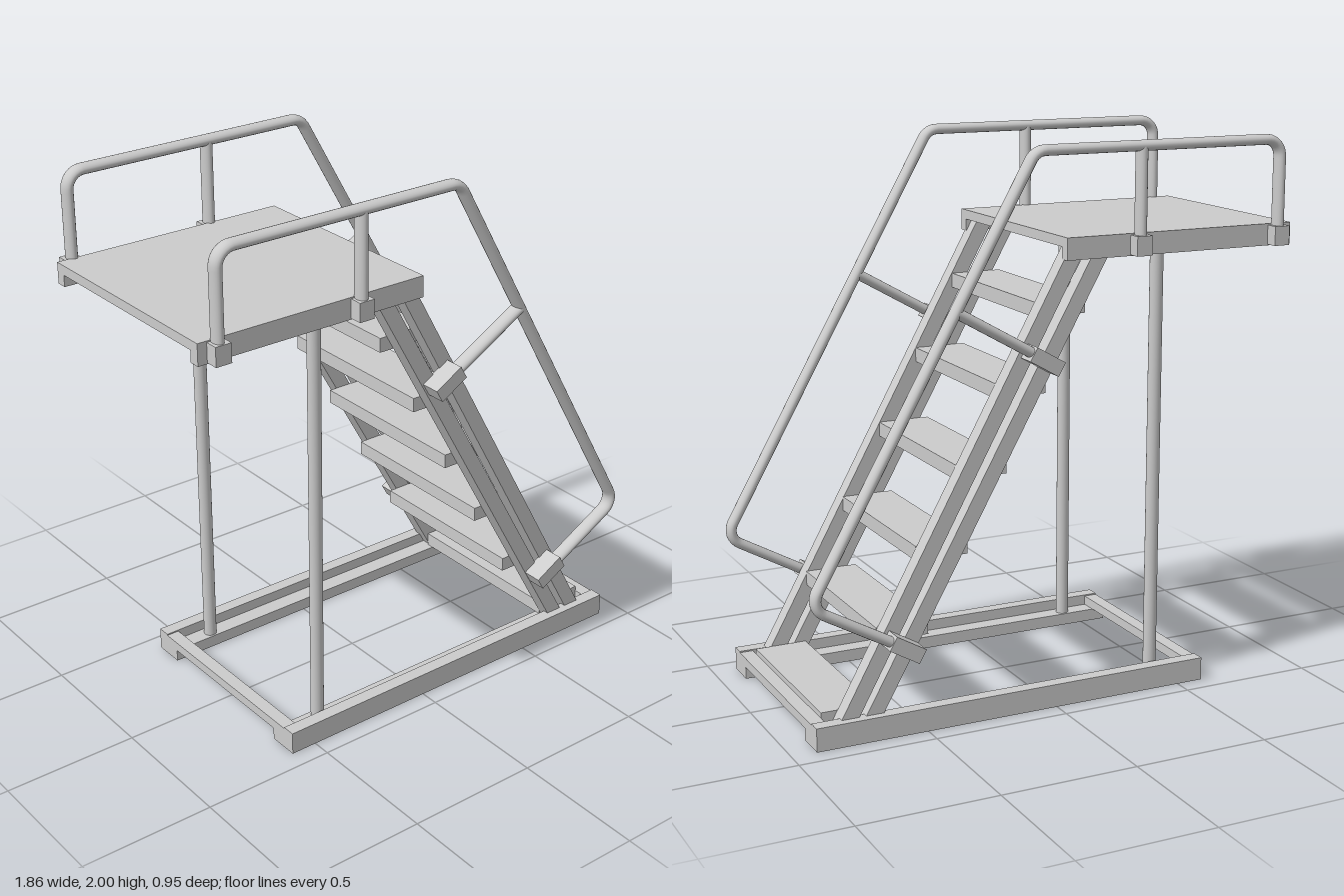
import * as THREE from 'three';

const material = new THREE.MeshStandardMaterial({ color: 0xcccccc });

export function createModel() {
  const model = new THREE.Group();

  const add = (name, geometry, parent = model) => {
    const mesh = new THREE.Mesh(geometry, material);
    mesh.name = name;
    parent.add(mesh);
    return mesh;
  };

  // Box given by its limits on each axis
  const box = (name, x0, x1, y0, y1, z0, z1, parent) => {
    const mesh = add(name, new THREE.BoxGeometry(x1 - x0, y1 - y0, z1 - z0), parent);
    mesh.position.set((x0 + x1) / 2, (y0 + y1) / 2, (z0 + z1) / 2);
    return mesh;
  };

  // Tube through corner points in the side plane, corners rounded, oval section
  const tube = (name, points, z, parent, radius = 0.06) => {
    const p = points.map(([x, y]) => new THREE.Vector3(x, y, 0));
    const path = new THREE.CurvePath();
    let from = p[0];
    for (let i = 1; i < p.length - 1; i++) {
      const back = p[i - 1].clone().sub(p[i]).normalize();
      const ahead = p[i + 1].clone().sub(p[i]).normalize();
      const cut = radius / Math.tan(back.angleTo(ahead) / 2);
      const a = p[i].clone().addScaledVector(back, cut);
      const b = p[i].clone().addScaledVector(ahead, cut);
      path.add(new THREE.LineCurve3(from, a));
      // Cubic approximation of the round bend
      const k = (4 / 3) * Math.tan((Math.PI - back.angleTo(ahead)) / 4) * radius;
      path.add(new THREE.CubicBezierCurve3(a, a.clone().addScaledVector(back, -k),
        b.clone().addScaledVector(ahead, -k), b));
      from = b;
    }
    path.add(new THREE.LineCurve3(from, p[p.length - 1]));
    const segments = p.length > 2 ? 240 : 1;
    const geometry = new THREE.TubeGeometry(path, segments, 0.019, 20, false);
    geometry.scale(1, 1, 1.5);
    add(name, geometry, parent).position.z = z;
  };

  // Sloping bar with level ends, x0 at the bottom and x1 at the top
  const slopingBar = (name, x0, x1, parent) => {
    const w = 0.065;
    const shape = new THREE.Shape([[x0, 0.045], [x0 + w, 0.045], [x1 + w, 1.645], [x1, 1.645]]
      .map(([x, y]) => new THREE.Vector2(x, y)));
    const geometry = new THREE.ExtrudeGeometry(shape, { depth: 0.06, bevelEnabled: false });
    add(name, geometry, parent).position.z = parent.userData.side > 0 ? 0.34 : -0.40;
  };

  // Platform deck
  box('platformDeck', -0.93, -0.03, 1.645, 1.68, -0.385, 0.385);

  // Cross bars of the base
  box('baseFrontCrossbar', 0.86, 0.91, 0.045, 0.08, -0.38, 0.38);
  box('baseRearCrossbar', -0.6, -0.55, 0.045, 0.08, -0.38, 0.38);

  // Stair treads
  for (let i = 0; i < 5; i++) {
    const x = -0.145 + i * 0.151, y = 1.4 - i * 0.27;
    box('tread', x, x + 0.195, y, y + 0.053, -0.34, 0.34);
  }
  box('bottomTread', 0.665, 0.86, 0.048, 0.1, -0.34, 0.34);

  for (const side of [1, -1]) {
    const group = new THREE.Group();
    group.name = side > 0 ? 'leftSide' : 'rightSide';
    group.userData.side = side;
    model.add(group);
    const sideBox = (name, x0, x1, y0, y1, z0, z1) =>
      box(name, x0, x1, y0, y1, Math.min(side * z0, side * z1), Math.max(side * z0, side * z1), group);

    // Platform edge and stepped base rail
    sideBox('platformEdge', -0.93, -0.03, 1.602, 1.68, 0.385, 0.425);
    sideBox('baseRail', -0.6, 0.91, 0, 0.085, 0.38, 0.43);
    sideBox('baseLedge', -0.6, 0.91, 0, 0.045, 0.315, 0.38);

    // Support post
    const post = add('supportPost', new THREE.CylinderGeometry(0.024, 0.024, 1.6, 24), group);
    post.position.set(-0.427, 0.845, side * 0.345);

    // Paired stair stringers
    slopingBar('rearStringer', 0.675, -0.225, group);
    slopingBar('frontStringer', 0.765, -0.12, group);

    // Handrail with its upright and strut
    tube('handrail', [[-0.865, 1.62], [-0.865, 1.98], [0.1, 1.98], [0.93, 0.515], [0.59, 0.325]], side * 0.44, group);
    tube('handrailUpright', [[-0.305, 1.62], [-0.305, 1.98]], side * 0.44, group);
    tube('handrailStrut', [[0.063, 1.273], [0.39, 1.46]], side * 0.44, group);

    // Handrail brackets on the platform and clamps on the stringers
    for (const x of [-0.865, -0.305])
      sideBox('platformBracket', x - 0.03, x + 0.03, 1.606, 1.675, 0.42, 0.473);
    for (const [x, y] of [[0.065, 1.27], [0.59, 0.325]]) {
      const clamp = sideBox('stringerClamp', x - 0.062, x + 0.062, y - 0.027, y + 0.027, 0.395, 0.473);
      clamp.rotation.z = Math.PI / 6;
    }
  }
  return model;
}
